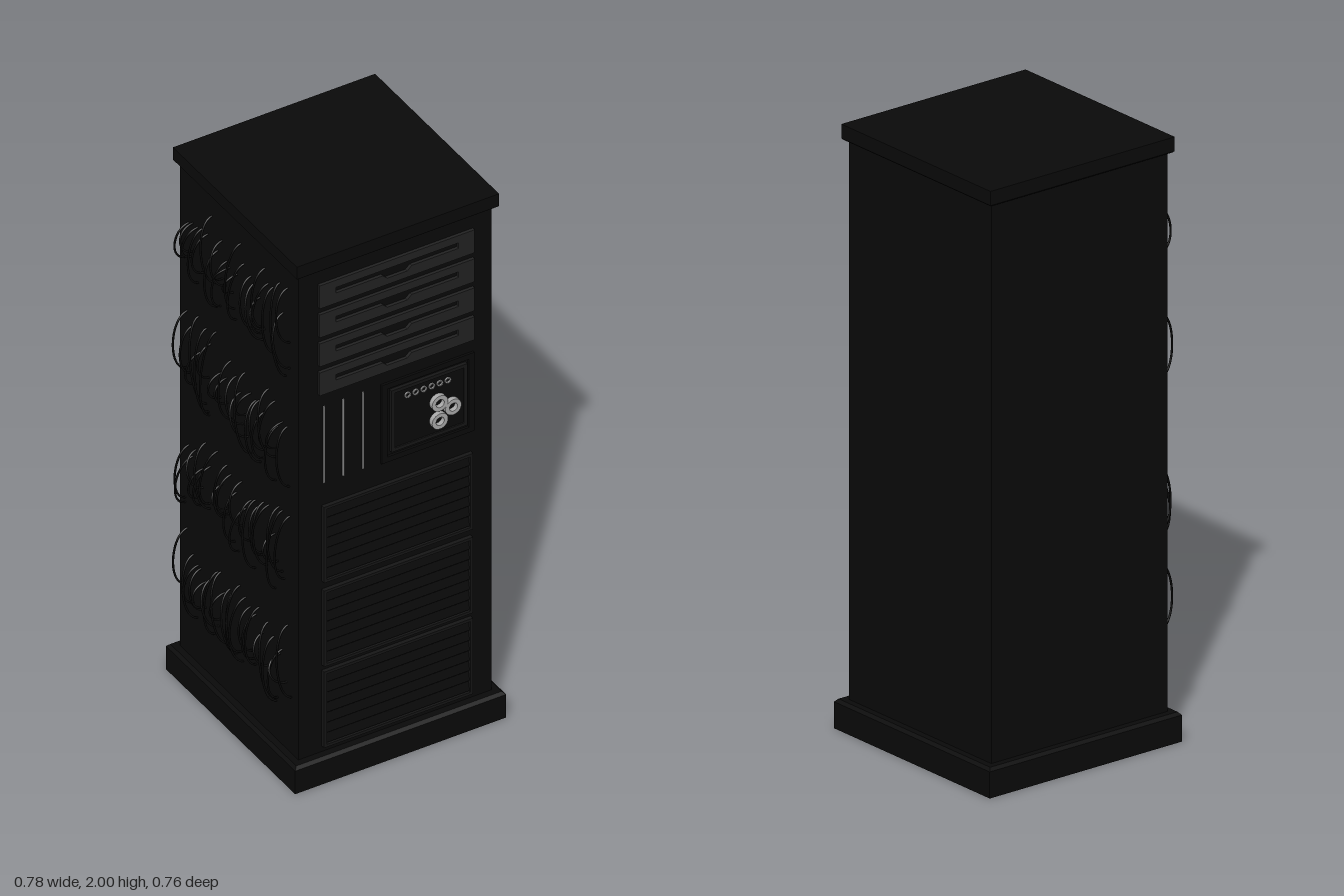
import * as THREE from 'three';

const CX = 0.008; // cabinet centre in x
const FRONT = 0.35; // z of the cabinet front face

const paint = (color) => new THREE.MeshStandardMaterial({ color });
const black = paint(0x0a0a0a);
const frameGrey = paint(0x161616);
const drawerGrey = paint(0x222222);
const silver = paint(0xaaaaaa);

function add(parent, name, geometry, material, x = 0, y = 0, z = 0) {
  const mesh = new THREE.Mesh(geometry, material);
  mesh.name = name;
  mesh.position.set(x, y, z);
  parent.add(mesh);
  return mesh;
}

// box given by its limits
function box(parent, name, material, x0, x1, y0, y1, z0, z1) {
  return add(parent, name, new THREE.BoxGeometry(x1 - x0, y1 - y0, z1 - z0), material,
    (x0 + x1) / 2, (y0 + y1) / 2, (z0 + z1) / 2);
}

// square slab with a chamfered upper or lower rim
function chamferedSlab(parent, name, half, y0, y1, c, chamferTop) {
  const s = Math.SQRT2;
  const rim = new THREE.CylinderGeometry((half - (chamferTop ? c : 0)) * s,
    (half - (chamferTop ? 0 : c)) * s, c, 4).toNonIndexed();
  rim.rotateY(Math.PI / 4);
  rim.computeVertexNormals();
  const group = new THREE.Group();
  group.name = name;
  parent.add(group);
  add(group, name + 'Rim', rim, black, CX, chamferTop ? y1 - c / 2 : y0 + c / 2, 0.002);
  box(group, name + 'Slab', black, CX - half, CX + half,
    chamferTop ? y0 : y0 + c, chamferTop ? y1 - c : y1, 0.002 - half, 0.002 + half);
}

function rectPath(path, x0, x1, y0, y1) {
  path.moveTo(x0, y0).lineTo(x1, y0).lineTo(x1, y1).lineTo(x0, y1).closePath();
  return path;
}

// rectangular frame with an open middle
function frame(parent, name, material, x0, x1, y0, y1, w, depth) {
  const shape = rectPath(new THREE.Shape(), x0, x1, y0, y1);
  shape.holes.push(rectPath(new THREE.Path(), x0 + w, x1 - w, y0 + w, y1 - w));
  add(parent, name, new THREE.ExtrudeGeometry(shape, { depth, bevelEnabled: false }), material, 0, 0, FRONT);
}

// flat ring facing the front
function ring(parent, name, x, y, z, outer, inner, depth, segments) {
  const shape = new THREE.Shape().absarc(0, 0, outer, 0, Math.PI * 2);
  shape.holes.push(new THREE.Path().absarc(0, 0, inner, 0, Math.PI * 2));
  add(parent, name, new THREE.ExtrudeGeometry(shape, { depth, bevelEnabled: false, curveSegments: segments }),
    silver, x, y, z);
}

// drawer fronts, each with a slot that widens into a finger notch
function addDrawers(parent) {
  const shape = rectPath(new THREE.Shape(), -0.28, 0.28, -0.044, 0.044);
  const slot = new THREE.Path();
  slot.moveTo(-0.222, 0.016).lineTo(0.222, 0.016).lineTo(0.222, -0.005).lineTo(0.052, -0.005)
    .lineTo(0.036, -0.02).lineTo(-0.036, -0.02).lineTo(-0.052, -0.005).lineTo(-0.222, -0.005).closePath();
  shape.holes.push(slot);
  const geometry = new THREE.ExtrudeGeometry(shape, { depth: 0.011, bevelEnabled: false });
  for (let i = 0; i < 4; i++) add(parent, 'drawerFront', geometry, drawerGrey, 0.009, 1.847 - i * 0.111, FRONT);
}

// vertical strips and the control panel beside them
function addControls(parent) {
  for (const x of [-0.25, -0.18, -0.109]) {
    box(parent, 'verticalStrip', silver, x - 0.003, x + 0.003, 1.125, 1.418, FRONT - 0.01, FRONT + 0.004);
  }
  frame(parent, 'panelOuterFrame', black, -0.045, 0.29, 1.12, 1.42, 0.02, 0.008);
  frame(parent, 'panelInnerFrame', frameGrey, -0.012, 0.262, 1.155, 1.39, 0.012, 0.012);
  box(parent, 'panelPlate', black, 0, 0.25, 1.167, 1.378, FRONT - 0.01, FRONT + 0.007);
  for (const [x, y] of [[0.157, 1.284], [0.205, 1.252], [0.157, 1.216]]) {
    ring(parent, 'dialRing', x, y, FRONT + 0.007, 0.029, 0.015, 0.016, 16);
  }
  for (let i = 0; i < 6; i++) {
    ring(parent, 'indicatorRing', 0.048 + i * 0.029, 1.351, FRONT + 0.007, 0.011, 0.007, 0.005, 6);
  }
}

// framed vent with slanted slats
function addVent(parent, y0, y1) {
  const group = new THREE.Group();
  group.name = 'vent';
  parent.add(group);
  frame(group, 'ventFrame', frameGrey, -0.257, 0.281, y0, y1, 0.01, 0.014);
  const count = 7;
  const pitch = (y1 - y0 - 0.02) / count;
  for (let i = 0; i < count; i++) {
    const slat = add(group, 'ventSlat', new THREE.BoxGeometry(0.518, pitch * 0.85, 0.006), black,
      0.012, y0 + 0.01 + (i + 0.5) * pitch, FRONT + 0.004);
    slat.rotation.x = -0.2;
  }
}

// four banks of looping cables on the side
function addCables(parent) {
  let seed = 7;
  const rand = () => (seed = (seed * 16807) % 2147483647) / 2147483647;
  const count = 22;
  for (const [low, high] of [[0.22, 0.575], [0.65, 1.0], [1.085, 1.435], [1.52, 1.865]]) {
    const bank = new THREE.Group();
    bank.name = 'cableBank';
    parent.add(bank);
    const span = high - low;
    for (let i = 0; i < count; i++) {
      const top = high - rand() * span * 0.42;
      const bottom = low + rand() * span * 0.42;
      const z = -0.31 + (0.62 * (i + rand() * 0.6)) / count;
      const z2 = THREE.MathUtils.clamp(z + (rand() - 0.5) * 0.1, -0.315, 0.31);
      const reach = -0.4 - rand() * 0.01;
      const curve = new THREE.CubicBezierCurve3(
        new THREE.Vector3(-0.335, top, z), new THREE.Vector3(reach, top, z),
        new THREE.Vector3(reach, bottom, z2), new THREE.Vector3(-0.335, bottom, z2));
      add(bank, 'cable', new THREE.TubeGeometry(curve, 24, 0.0035, 6), black);
    }
  }
}

export function createModel() {
  const model = new THREE.Group();
  model.name = 'serverCabinet';

  // cabinet shell
  chamferedSlab(model, 'base', 0.381, 0, 0.098, 0.01, true);
  box(model, 'cabinetBody', black, -0.341, 0.357, 0.09, 1.96, -0.347, FRONT);
  chamferedSlab(model, 'topCap', 0.365, 1.948, 2, 0.005, false);

  // front fittings
  addDrawers(model);
  addControls(model);
  for (const [y0, y1] of [[0.12, 0.41], [0.43, 0.72], [0.75, 1.04]]) addVent(model, y0, y1);

  addCables(model);
  return model;
}
